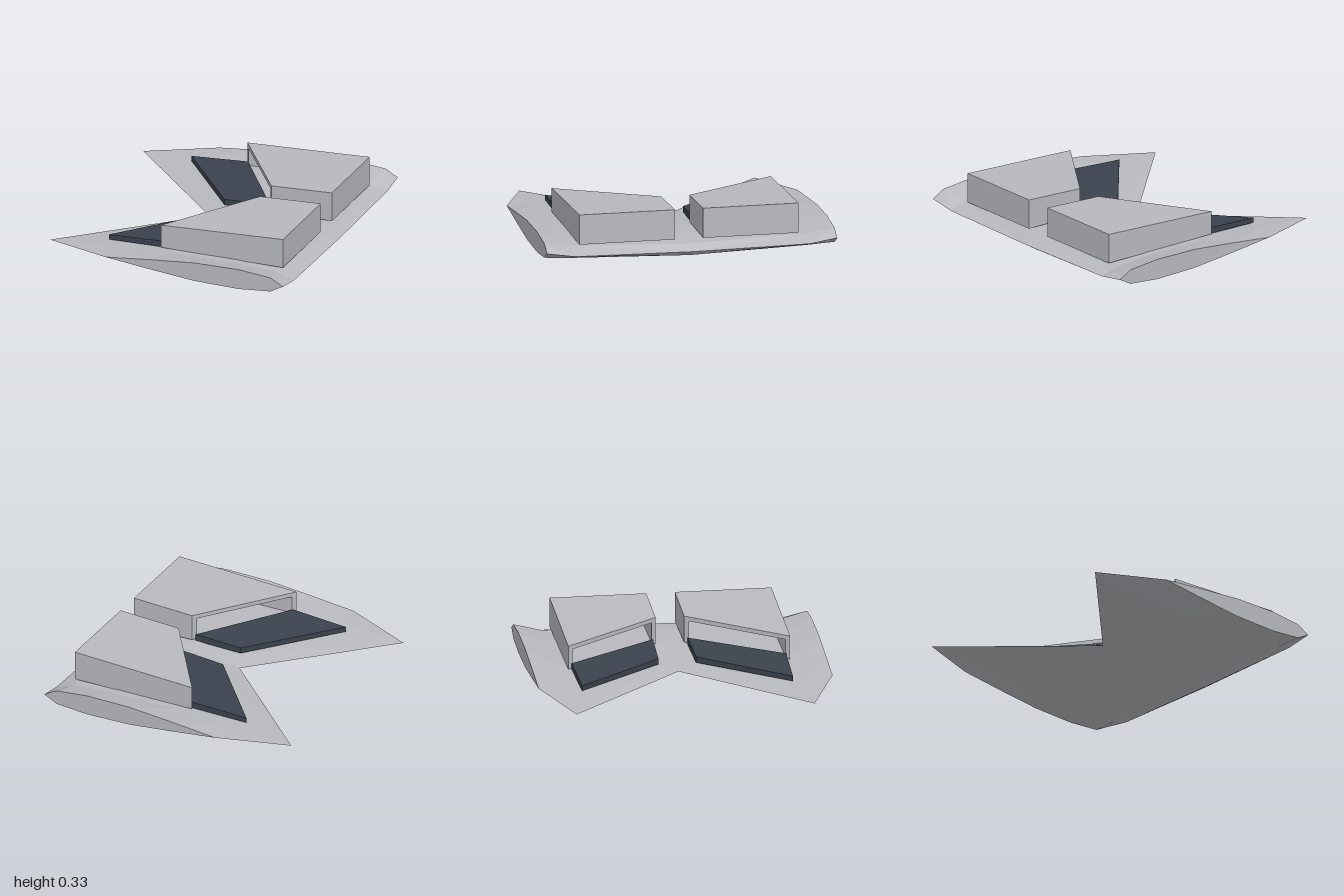
import * as THREE from 'three';

// Solid with a bottom and a top outline sharing [x, z] corners; heights are functions of x
function prism(corners, bottomAt, topAt, material, name) {
  const n = corners.length, positions = [], index = [];
  // counter-clockwise seen from above
  const area = corners.reduce((s, [x, z], i) => {
    const [x2, z2] = corners[(i + 1) % n];
    return s + x * z2 - x2 * z;
  }, 0);
  const pts = area > 0 ? [...corners].reverse() : corners;
  for (const [x, z] of pts) positions.push(x, bottomAt(x), z);
  for (const [x, z] of pts) positions.push(x, topAt(x), z);
  for (let i = 0; i < n; i++) {
    const j = (i + 1) % n;
    index.push(i, j, n + j, i, n + j, n + i);
  }
  for (let i = 1; i < n - 1; i++) {
    index.push(n, n + i, n + i + 1, 0, i + 1, i);
  }
  return buildMesh(positions, index, material, name);
}

function buildMesh(positions, index, material, name) {
  const indexed = new THREE.BufferGeometry();
  indexed.setAttribute('position', new THREE.Float32BufferAttribute(positions, 3));
  indexed.setIndex(index);
  const geometry = indexed.toNonIndexed();
  geometry.computeVertexNormals();
  const mesh = new THREE.Mesh(geometry, material);
  mesh.name = name;
  return mesh;
}

// Swept-wing hull lofted through symmetric airfoil sections
function makeHull(material) {
  const trailingX = 0.89;
  const stations = [ // z, leading edge x, centre height, thickness scale
    [-1, -0.41, 0.098, 1],
    [-0.81, -0.89, 0.068, 0.81],
    [0, -0.07, 0.058, 0.81],
    [0.81, -0.89, 0.068, 0.81],
    [1, -0.41, 0.098, 1],
  ];
  const chord = [0.25, 0.5, 0.75, 0.93];
  const half = [0.035, 0.066, 0.071, 0.05];
  const positions = [], index = [];
  for (const [z, lead, y, k] of stations) {
    const at = (f, h) => positions.push(lead + (trailingX - lead) * f, y + h * k, z);
    at(0, 0);
    chord.forEach((f, i) => at(f, half[i]));
    at(1, 0);
    for (let i = 3; i >= 0; i--) at(chord[i], -half[i]);
  }
  const n = 10, last = (stations.length - 1) * n;
  for (let s = 0; s < stations.length - 1; s++) {
    for (let i = 0; i < n; i++) {
      const a = s * n + i, b = s * n + (i + 1) % n, c = b + n, d = a + n;
      // mirrored diagonals on the two halves
      if (s < 2) index.push(a, d, c, a, c, b);
      else index.push(a, d, b, d, c, b);
    }
  }
  // wing tip caps
  for (let i = 1; i < n - 1; i++) {
    index.push(0, i, i + 1, last, last + i + 1, last + i);
  }
  return buildMesh(positions, index, material, 'hull');
}

// Hollow wedge housing, open on its slanted intake side
function makeHousing(side, material) {
  const group = new THREE.Group();
  group.name = side > 0 ? 'frontHousing' : 'rearHousing';
  const wall = 0.03, floorY = 0.122, back = 0.787, outer = 0.755, inner = 0.097;
  const roofAt = (x) => 0.285 + (x + 0.105) * 0.0495;
  const slantX = (z) => -0.105 + (outer - z) * 0.684;
  const part = (x0z, z0, z1, x0, low, high, name) => {
    const corners = x0z
      ? [[x0, z0], [x0, z1], [back, z1], [back, z0]]
      : [[slantX(z0), z0], [slantX(z1), z1], [back, z1], [back, z0]];
    group.add(prism(corners.map(([x, z]) => [x, z * side]), low, high, material, name));
  };
  const floor = () => floorY, floorTop = () => floorY + 0.012;
  const ceiling = (x) => roofAt(x) - wall;
  part(false, inner, outer, 0, ceiling, roofAt, 'housingRoof');
  part(false, inner, outer, 0, floor, floorTop, 'housingFloor');
  part(false, inner, inner + wall, 0, floorTop, ceiling, 'innerWall');
  part(false, outer - wall, outer, 0, floorTop, ceiling, 'outerWall');
  part(true, inner + wall, outer - wall, back - wall, floorTop, ceiling, 'backWall');
  return group;
}

// Dark slab in front of each intake, tilted up between its front and rear edges
function makeRamp(side, material) {
  const corners = [[-0.5, 0.718], [-0.09, 0.73], [0.328, 0.118], [-0.01, 0.128]];
  const pts = [], index = [];
  const tops = [0.135, 0.158, 0.158, 0.135], bottoms = [0.1, 0.115, 0.108, 0.095];
  for (const heights of [bottoms, tops]) {
    corners.forEach(([x, z], i) => pts.push(x, heights[i], z * side));
  }
  const tri = (a, b, c) => (side > 0 ? index.push(a, c, b) : index.push(a, b, c));
  for (let i = 0; i < 4; i++) {
    const j = (i + 1) % 4;
    tri(i, 4 + j, j);
    tri(i, 4 + i, 4 + j);
  }
  for (const i of [1, 2]) {
    tri(4, 4 + i + 1, 4 + i);
    tri(0, i, i + 1);
  }
  // corner order runs the other way on the mirrored side
  for (let i = 0; i < index.length; i += 3) {
    [index[i + 1], index[i + 2]] = [index[i + 2], index[i + 1]];
  }
  return buildMesh(pts, side > 0 ? flipIfInward(pts, index) : flipIfInward(pts, index),
    material, side > 0 ? 'frontRamp' : 'rearRamp');
}

// Reverse triangles when the enclosed volume comes out negative
function flipIfInward(pts, index) {
  const v = (i) => new THREE.Vector3().fromArray(pts, index[i] * 3);
  let volume = 0;
  for (let i = 0; i < index.length; i += 3) volume += v(i).dot(v(i + 1).cross(v(i + 2)));
  return volume < 0 ? [...index].reverse() : index;
}

export function createModel() {
  const hullGrey = new THREE.MeshStandardMaterial({ color: 0xb8b9be });
  hullGrey.name = 'hullGrey';
  const darkSlate = new THREE.MeshStandardMaterial({ color: 0x3a424d });
  darkSlate.name = 'darkSlate';

  const model = new THREE.Group();
  model.name = 'sweptWingCraft';
  model.add(makeHull(hullGrey));
  for (const side of [1, -1]) {
    model.add(makeHousing(side, hullGrey), makeRamp(side, darkSlate));
  }
  return model;
}
